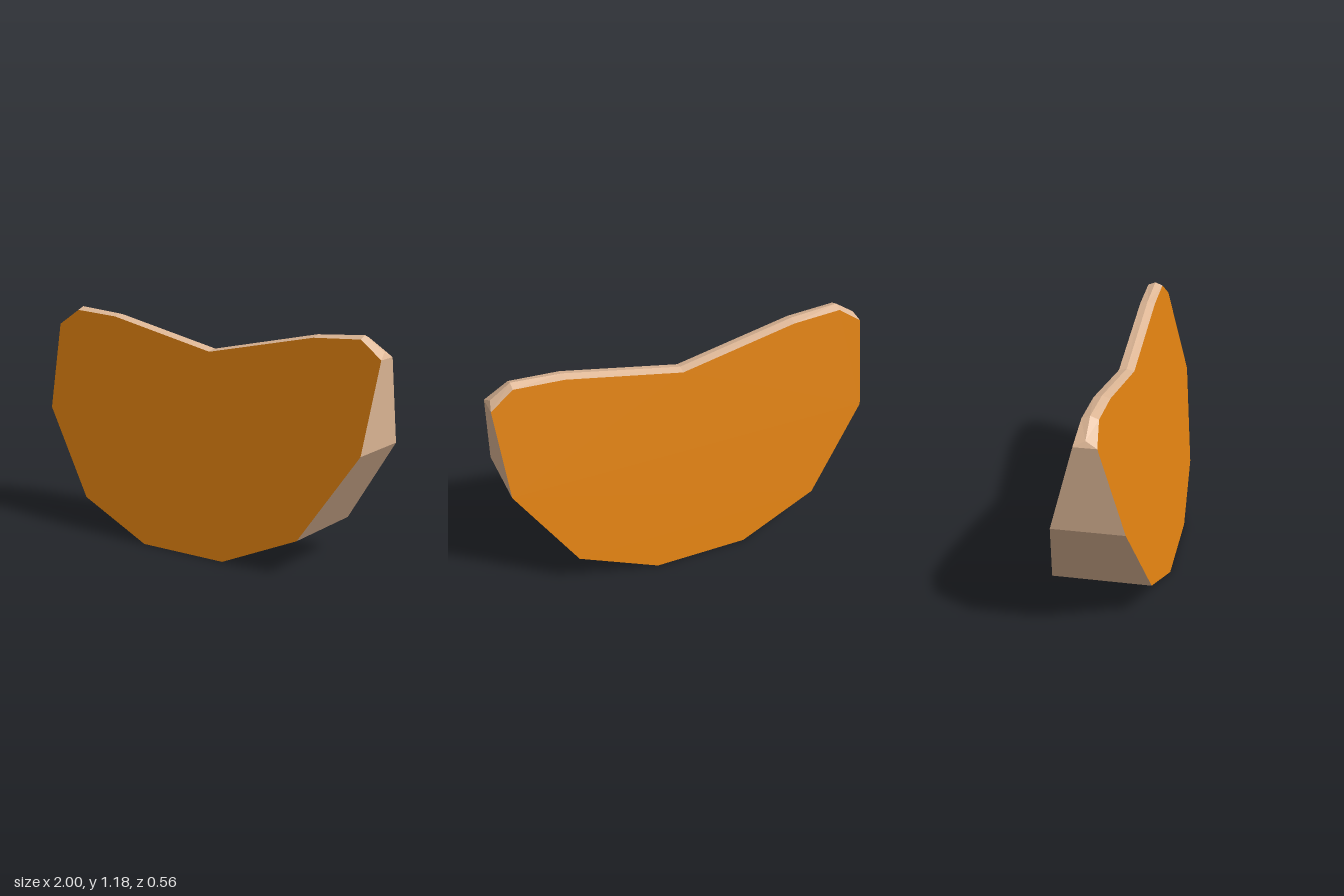
import * as THREE from 'three';

const V = (x, y, z) => new THREE.Vector3(x, y, z);
const mirrorX = (half) => [...half, ...half.slice(0, -1).reverse().map((p) => V(-p.x, p.y, p.z))];

// Front outline from bottom right, up to the notch, then mirrored to the left
const outline = mirrorX([
  V(0.25, 0, 0.278), V(0.67, 0.18, 0.249), V(0.97, 0.63, 0.177), V(1, 1.075, 0.056),
  V(0.88, 1.16, 0.04), V(0.62, 1.145, 0.04), V(0, 1.015, 0.04),
]);
// Thin crest on the centre plane; it rises above the outline only along the top
const crest = mirrorX([
  V(0.25, 0, 0), V(0.67, 0.18, 0), V(0.97, 0.63, 0), V(1, 1.075, 0),
  V(0.88, 1.176, 0), V(0.62, 1.157, 0), V(0, 1.025, 0),
]);

// Faceted geometry from triangles
function facets(tris) {
  const g = new THREE.BufferGeometry().setFromPoints(tris.flat());
  g.computeVertexNormals();
  return g;
}
const mirrorZ = (tris) => tris.map(([a, b, c]) => [a, c, b].map((p) => V(p.x, p.y, -p.z)));

export function createModel() {
  const group = new THREE.Group();
  const flesh = new THREE.MeshStandardMaterial({ name: 'orange', color: 0xde8010 });
  const rind = new THREE.MeshStandardMaterial({ name: 'tan', color: 0xdfb897 });

  const add = (name, geometry, material) => {
    const mesh = new THREE.Mesh(geometry, material);
    mesh.name = name;
    group.add(mesh);
  };

  // Broad sloping faces, each shaded as one even surface
  const faceTris = [
    [12, 0, 1], [12, 1, 11], [11, 1, 2], [11, 2, 10], [10, 2, 6],
    [2, 3, 4], [2, 4, 5], [2, 5, 6], [10, 6, 7], [10, 7, 8], [10, 8, 9],
  ].map((t) => t.map((i) => outline[i]));
  for (const [name, tris, s] of [['frontFace', faceTris, 1], ['backFace', mirrorZ(faceTris), -1]]) {
    const g = facets(tris);
    const n = V(0, 0.21, s).normalize();
    for (let i = 0; i < g.attributes.normal.count; i++) g.attributes.normal.setXYZ(i, n.x, n.y, n.z);
    add(name, g, flesh);
  }

  // Rim: curved side bands, underside and the roof-shaped top edge
  const sides = [], top = [];
  for (let i = 0; i < 13; i++) {
    const j = (i + 1) % 13;
    const band = i >= 3 && i < 9 ? top : sides;
    const peak = (k) => (band === top && (k === 3 || k === 9)
      ? V(Math.sign(outline[k].x) * 0.985, 1.103, 0) : crest[k]);
    band.push([outline[i], peak(i), peak(j)], [outline[i], peak(j), outline[j]]);
  }
  // Small sloping triangles closing the upper corners
  top.push([outline[3], crest[3], V(0.985, 1.103, 0)], [outline[9], V(-0.985, 1.103, 0), crest[9]]);
  add('outerRim', facets([...sides, ...mirrorZ(sides)]), rind);
  add('topEdge', facets([...top, ...mirrorZ(top)]), rind);
  return group;
}
